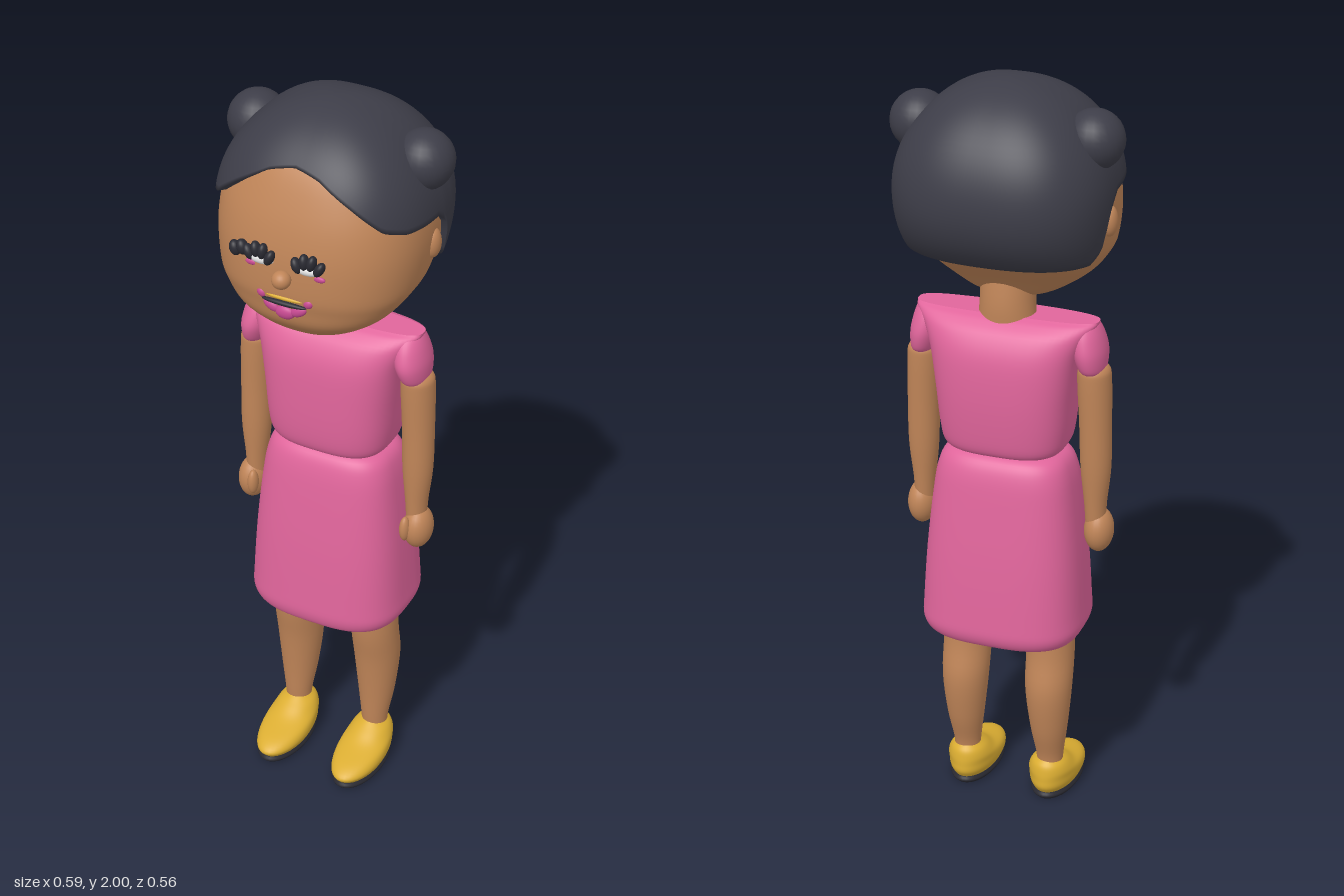
import * as THREE from 'three';

const material = (name, color) => new THREE.MeshStandardMaterial({ name, color });

// Closed surface from rings running bottom to top; point(i, angle) gives [x, y, z], angle 0 is the front
function ringSurface(rings, sides, point) {
  const pos = [], idx = [];
  const addRing = (i) => {
    for (let j = 0; j < sides; j++) pos.push(...point(i, (j / sides) * Math.PI * 2));
  };
  for (let i = 0; i < rings; i++) addRing(i);
  for (let i = 0; i < rings - 1; i++) {
    for (let j = 0; j < sides; j++) {
      const k = (j + 1) % sides, a = i * sides, b = a + sides;
      idx.push(a + j, a + k, b + j, a + k, b + k, b + j);
    }
  }
  // caps with their own vertices, so their rims stay crisp
  for (const i of [0, rings - 1]) {
    const start = pos.length / 3;
    addRing(i);
    const c = [0, 0, 0];
    for (let j = 0; j < sides; j++) for (let m = 0; m < 3; m++) c[m] += pos[(start + j) * 3 + m] / sides;
    pos.push(...c);
    for (let j = 0; j < sides; j++) {
      const k = (j + 1) % sides;
      if (i === 0) idx.push(start + sides, start + k, start + j);
      else idx.push(start + sides, start + j, start + k);
    }
  }
  const g = new THREE.BufferGeometry();
  g.setAttribute('position', new THREE.Float32BufferAttribute(pos, 3));
  g.setIndex(idx);
  g.computeVertexNormals();
  return g;
}

const sPow = (v, n) => Math.sign(v) * Math.pow(Math.abs(v), 2 / n);

// Smooth loft through sections [y, centreX, centreZ, radiusX, radiusZ]; n squares the outline
function loft(sections, n = 2, sides = 40, steps = 5) {
  const curve = (f) => new THREE.CatmullRomCurve3(sections.map(f), false, 'catmullrom', 0.5);
  const centre = curve((s) => new THREE.Vector3(s[1], s[0], s[2]));
  const radius = curve((s) => new THREE.Vector3(s[3], s[0], s[4]));
  const count = (sections.length - 1) * steps;
  return ringSurface(count + 1, sides, (i, a) => {
    const c = centre.getPoint(i / count), r = radius.getPoint(i / count);
    return [c.x + r.x * sPow(Math.sin(a), n), c.y, c.z + r.z * sPow(Math.cos(a), n)];
  });
}

// Hairline height by angle from the front
const HAIRLINE = [[0, 1.9], [0.2, 1.885], [0.52, 1.835], [0.86, 1.775], [1.15, 1.755], [1.57, 1.745],
  [1.69, 1.7], [1.79, 1.61], [1.98, 1.58], [Math.PI, 1.575]];
function hairline(angle) {
  const a = Math.min(angle, Math.PI * 2 - angle);
  for (let i = 1; i < HAIRLINE.length; i++) {
    const [a0, y0] = HAIRLINE[i - 1], [a1, y1] = HAIRLINE[i];
    if (a <= a1) return y0 + ((y1 - y0) * (a - a0)) / (a1 - a0);
  }
  return 1.575;
}

// Cap of hair: a squared dome cut along the hairline, its rim turned in towards the head
function hairGeometry() {
  const rings = 30, mid = 1.73, h = 0.27;
  return ringSurface(rings, 120, (i, a) => {
    const v = Math.max(0, i - 1) / (rings - 2);
    const t0 = Math.asin((hairline(a) - mid) / h);
    const y = mid + h * Math.sin(t0 + (Math.PI / 2 - t0) * v);
    const spread = (lower) => Math.sqrt(Math.max(0, 1 - ((y - mid) / (y < mid ? lower : h)) ** 2));
    const rim = i === 0 ? 0.8 : 1;
    const rz = 0.26 * spread(Math.cos(a) < 0 ? 0.22 : h);
    return [0.275 * spread(0.4) * rim * sPow(Math.sin(a), 2.6), y, -0.02 + rz * rim * sPow(Math.cos(a), 2.6)];
  });
}

export function createModel() {
  const model = new THREE.Group();
  model.name = 'standingGirl';
  const skin = material('skin', 0xc08558);
  const hair = material('hair', 0x3d3d48);
  const pink = material('pinkCloth', 0xe0659b);
  const gold = material('goldShoe', 0xdcae32);
  const black = material('black', 0x2a2a32);
  const white = material('white', 0xe8e8e8);
  const lip = material('lip', 0xc84a92);

  const add = (name, geometry, mat) => {
    const mesh = new THREE.Mesh(geometry, mat);
    mesh.name = name;
    model.add(mesh);
    return mesh;
  };
  const ball = (name, mat, [x, y, z], [rx, ry, rz], tilt = 0) => {
    const mesh = add(name, new THREE.SphereGeometry(1, 24, 16), mat);
    mesh.position.set(x, y, z);
    mesh.scale.set(rx, ry, rz);
    mesh.rotation.z = tilt;
    return mesh;
  };

  // Head and neck
  add('head', loft([
    [1.437, 0, 0.06, 0.05, 0.06], [1.452, 0, 0.06, 0.115, 0.115], [1.5, 0, 0.0625, 0.19, 0.1625],
    [1.55, 0, 0.045, 0.233, 0.195], [1.6, 0, 0.024, 0.254, 0.224], [1.7, 0, 0.002, 0.265, 0.24],
    [1.8, 0, -0.012, 0.25, 0.227], [1.9, 0, -0.015, 0.19, 0.178], [1.95, 0, -0.02, 0.1, 0.1],
  ], 2.4, 64), skin);
  add('neck', loft([
    [1.37, 0, -0.035, 0.075, 0.065], [1.44, 0, -0.032, 0.07, 0.068], [1.55, 0, -0.02, 0.07, 0.065],
  ]), skin);
  add('hair', hairGeometry(), hair);

  // Clothes
  add('bodice', loft([
    [1.033, 0, -0.028, 0.125, 0.095], [1.05, 0, -0.028, 0.156, 0.12], [1.1, 0, -0.028, 0.168, 0.13],
    [1.2, 0, -0.03, 0.178, 0.133], [1.3, 0, -0.03, 0.193, 0.126], [1.36, 0, -0.03, 0.215, 0.102],
    [1.39, 0, -0.03, 0.235, 0.07], [1.402, 0, -0.03, 0.238, 0.045],
  ], 3, 64), pink);
  add('skirt', loft([
    [0.59, 0, -0.03, 0.17, 0.13], [0.54, 0, -0.03, 0.185, 0.145], [0.517, 0, -0.03, 0.196, 0.158],
    [0.545, 0, -0.032, 0.213, 0.172], [0.6, 0, -0.032, 0.212, 0.17], [0.75, 0, -0.031, 0.203, 0.157],
    [0.9, 0, -0.03, 0.188, 0.138], [0.98, 0, -0.03, 0.175, 0.124], [1.02, 0, -0.029, 0.155, 0.105],
    [1.037, 0, -0.028, 0.115, 0.075],
  ], 3, 64), pink);

  for (const s of [1, -1]) {
    const side = s > 0 ? 'left' : 'right';

    // Hair buns and ears
    ball(side + 'HairBun', hair, [s * 0.222, 1.872, -0.042], [0.075, 0.075, 0.076]);
    ball(side + 'Ear', skin, [s * 0.258, 1.665, -0.025], [0.02, 0.04, 0.026]);

    // Sleeve and arm
    add(side + 'Sleeve', loft([
      [1.265, s * 0.225, -0.028, 0.024, 0.04], [1.28, s * 0.222, -0.027, 0.034, 0.06],
      [1.32, s * 0.215, -0.025, 0.042, 0.071], [1.36, s * 0.207, -0.026, 0.042, 0.062],
      [1.39, s * 0.202, -0.028, 0.036, 0.045], [1.4, s * 0.2, -0.03, 0.03, 0.03],
    ]), pink);
    add(side + 'Arm', loft([
      [0.84, s * 0.234, -0.022, 0.026, 0.03], [0.9, s * 0.233, -0.023, 0.029, 0.034],
      [1.0, s * 0.233, -0.025, 0.039, 0.041], [1.12, s * 0.231, -0.027, 0.041, 0.044],
      [1.24, s * 0.227, -0.028, 0.043, 0.048], [1.275, s * 0.226, -0.028, 0.038, 0.044],
      [1.29, s * 0.226, -0.028, 0.015, 0.018],
    ]), skin);
    ball(side + 'Hand', skin, [s * 0.242, 0.82, -0.018], [0.038, 0.06, 0.048]);
    ball(side + 'Thumb', skin, [s * 0.222, 0.83, 0.022], [0.014, 0.036, 0.018]);

    // Leg, shoe and sole
    add(side + 'Leg', loft([
      [0.08, s * 0.118, -0.03, 0.034, 0.034], [0.13, s * 0.118, -0.03, 0.037, 0.038],
      [0.22, s * 0.118, -0.04, 0.05, 0.053], [0.34, s * 0.117, -0.042, 0.062, 0.066],
      [0.45, s * 0.116, -0.025, 0.064, 0.066], [0.6, s * 0.114, -0.02, 0.066, 0.066],
    ]), skin);
    add(side + 'Shoe', loft([
      [0.018, s * 0.116, 0.045, 0.058, 0.118], [0.038, s * 0.116, 0.045, 0.066, 0.13],
      [0.058, s * 0.116, 0.03, 0.066, 0.115], [0.078, s * 0.116, -0.005, 0.06, 0.078],
      [0.1, s * 0.116, -0.022, 0.048, 0.055], [0.116, s * 0.116, -0.028, 0.03, 0.035],
    ]), gold);
    add(side + 'Sole', loft([
      [0, s * 0.116, 0.045, 0.058, 0.118], [0.01, s * 0.116, 0.045, 0.064, 0.127],
      [0.021, s * 0.116, 0.045, 0.06, 0.122],
    ]), black);

    // Eye with clustered lashes and a blush spot
    ball(side + 'EyeWhite', white, [s * 0.06, 1.675, 0.241], [0.034, 0.014, 0.014]);
    for (let i = 0; i < 4; i++) {
      ball(side + 'Lash', black, [s * (0.036 + i * 0.019), 1.685 + 0.014 * Math.sin(i * 1.05), 0.248 - i * 0.002],
        [0.012, 0.021, 0.015], s * (0.4 - i * 0.3));
    }
    ball(side + 'Blush', lip, [s * 0.09, 1.655, 0.237], [0.016, 0.008, 0.006]);

    // Lip lobes on each side of the mouth
    ball(side + 'LipCorner', lip, [s * 0.062, 1.581, 0.238], [0.014, 0.012, 0.01], s * 0.6);
    ball(side + 'LowerLip', lip, [s * 0.036, 1.553, 0.24], [0.024, 0.013, 0.01], s * 0.5);
  }

  // Extra lashes on the outer side of the right eye
  for (let i = 0; i < 2; i++) {
    ball('outerLash', black, [-0.112 - i * 0.022, 1.692 - i * 0.01, 0.241 - i * 0.004], [0.014, 0.02, 0.015], 0.3);
  }

  // Nose and mouth
  ball('nose', skin, [0, 1.64, 0.257], [0.024, 0.023, 0.024]);
  ball('lowerLip', lip, [0, 1.542, 0.24], [0.026, 0.018, 0.012]);
  ball('upperLip', gold, [0, 1.583, 0.243], [0.05, 0.006, 0.008]);
  ball('mouthLine', black, [0, 1.57, 0.245], [0.06, 0.007, 0.01]);
  return model;
}
